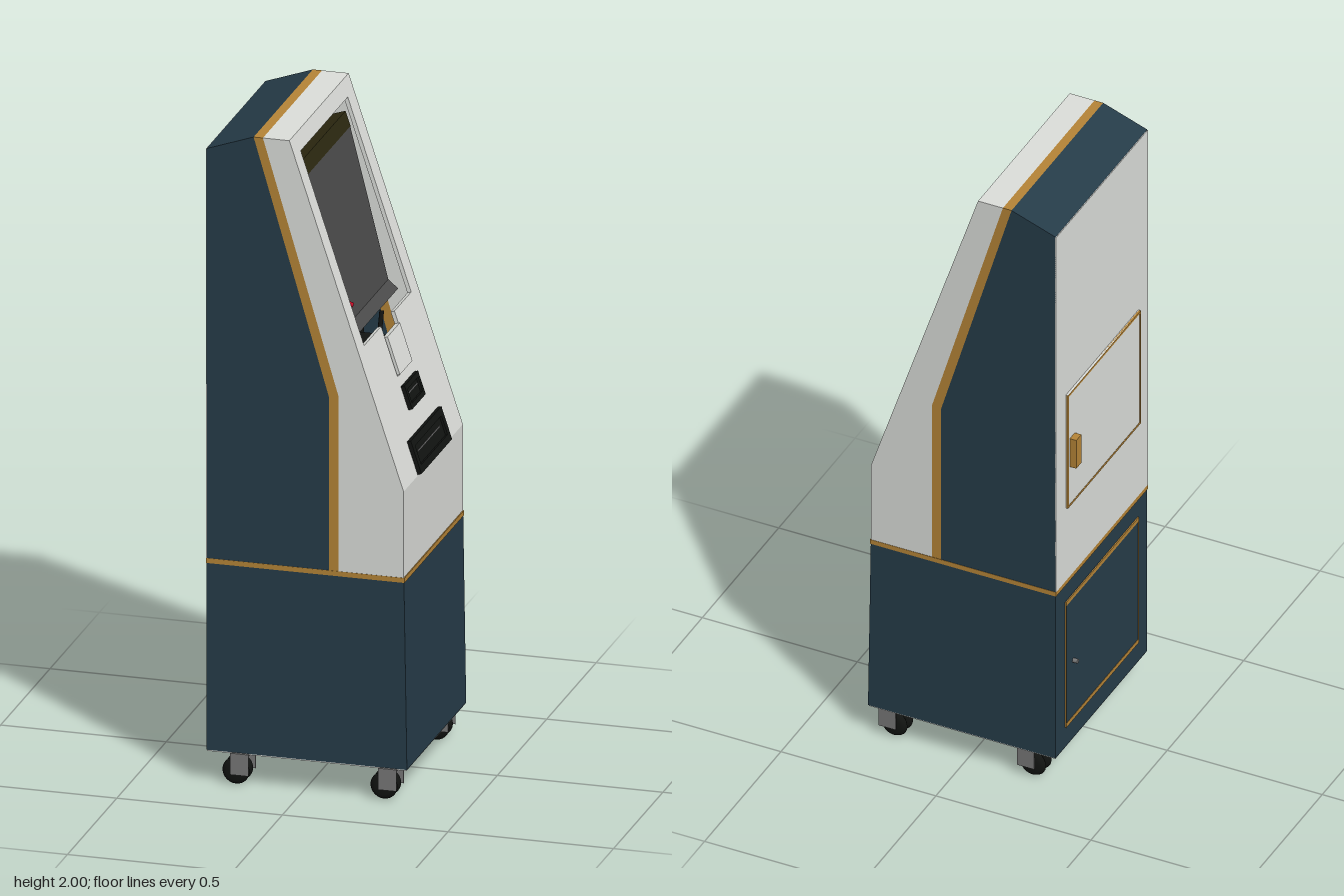
import * as THREE from 'three';

const mat = (name, color) => {
  const m = new THREE.MeshStandardMaterial({ color });
  m.name = name;
  return m;
};

export function createModel() {
  const M = {
    navy: mat('navy', 0x263c49),
    gold: mat('gold', 0xb58437),
    light: mat('light grey', 0xdcdeda),
    screen: mat('screen grey', 0x4a4a4a),
    black: mat('black', 0x121412),
    olive: mat('dark olive', 0x2c2810),
    metal: mat('metal grey', 0x777777),
    red: mat('red', 0xc00a24),
  };
  const model = new THREE.Group();
  model.name = 'kiosk';
  const ZC = -0.005, HALF = 0.3, WALL = 0.012;

  const add = (name, geo, material, parent = model) => {
    const mesh = new THREE.Mesh(geo, material);
    mesh.name = name;
    parent.add(mesh);
    return mesh;
  };
  const box = (name, material, x0, x1, y0, y1, z0, z1, parent = model) => {
    const m = add(name, new THREE.BoxGeometry(x1 - x0, y1 - y0, z1 - z0), material, parent);
    m.position.set((x0 + x1) / 2, (y0 + y1) / 2, (z0 + z1) / 2);
    return m;
  };
  const shape = pts => new THREE.Shape(pts.map(p => new THREE.Vector2(p[0], p[1])));
  // Extrudes an x-y outline from z0 to z1
  const slab = (name, material, pts, z0, z1) => {
    const geo = new THREE.ExtrudeGeometry(shape(pts), { depth: z1 - z0, bevelEnabled: false });
    add(name, geo, material).position.z = z0;
  };
  // Thin wall between two outline points, thickness going inwards
  const wall = (name, material, a, b) => {
    const d = new THREE.Vector2(b[0] - a[0], b[1] - a[1]).normalize().multiplyScalar(WALL);
    const shift = p => [p[0] + d.y, p[1] - d.x];
    slab(name, material, [a, b, shift(b), shift(a)], ZC - HALF + WALL, ZC + HALF - WALL);
  };
  const tube = (name, material, pts, r) => add(name, new THREE.TubeGeometry(
    new THREE.CatmullRomCurve3(pts.map(p => new THREE.Vector3(...p))), 20, r, 8), material);

  // Base cabinet, underside and trim band
  slab('base', M.navy, [[-0.29, 0.1], [0.315, 0.1], [0.306, 0.68], [-0.29, 0.68]], ZC - HALF, ZC + HALF);
  box('underside', M.light, -0.288, 0.313, 0.096, 0.1, ZC - HALF + 0.002, ZC + HALF - 0.002);
  box('trimBand', M.gold, -0.292, 0.308, 0.675, 0.69, ZC - HALF - 0.001, ZC + HALF + 0.001);
  box('innerFloor', M.light, -0.28, 0.295, 0.69, 0.7, ZC - 0.288, ZC + 0.288);

  // Upper side walls in three colours
  const Y0 = 0.685;
  const sides = [
    ['sideRear', M.navy, [[-0.29, Y0], [-0.29, 1.95], [-0.148, 2], [0.08, 1.222], [0.08, Y0]]],
    ['sideStripe', M.gold, [[0.08, Y0], [0.08, 1.222], [-0.148, 2], [-0.12, 2], [0.108, 1.23], [0.108, Y0]]],
    ['sideFront', M.light, [[0.108, Y0], [0.108, 1.23], [-0.12, 2], [-0.04, 2], [0.305, 0.955], [0.305, Y0]]],
  ];
  for (const [name, m, pts] of sides) {
    slab(name, m, pts, ZC - HALF, ZC - HALF + WALL);
    slab(name, m, pts, ZC + HALF - WALL, ZC + HALF);
  }
  // Walls across the width
  wall('backPanel', M.light, [-0.29, Y0], [-0.29, 1.95]);
  box('backFace', M.light, -0.292, -0.289, 0.69, 1.949, ZC - HALF, ZC + HALF);
  wall('topRear', M.navy, [-0.29, 1.95], [-0.148, 2]);
  wall('topStripe', M.gold, [-0.148, 2], [-0.12, 2]);
  wall('topFront', M.light, [-0.12, 2], [-0.04, 2]);
  wall('frontPanel', M.light, [0.305, 0.955], [0.305, Y0]);

  // Sloped fascia: local x = across, y = up the slope, z = outwards
  const LEN = Math.hypot(0.345, 1.045), c = 1.045 / LEN, s = 0.345 / LEN;
  const fascia = new THREE.Group();
  fascia.name = 'fascia';
  fascia.applyMatrix4(new THREE.Matrix4().makeBasis(
    new THREE.Vector3(0, 0, -1), new THREE.Vector3(-s, c, 0), new THREE.Vector3(c, s, 0))
    .setPosition(0.305, 0.955, ZC));
  model.add(fascia);
  const v = y => (y - 0.955) / c;
  const W = HALF - WALL;
  const panel = shape([[-W, 0], [W, 0], [W, LEN], [-W, LEN]]);
  panel.holes.push(shape([[-0.24, v(1.37)], [-0.24, v(1.95)], [0.236, v(1.95)], [0.236, v(1.37)],
    [0.067, v(1.37)], [0.067, v(1.22)], [-0.068, v(1.22)], [-0.068, v(1.37)]]));
  add('fasciaPanel', new THREE.ExtrudeGeometry(panel, { depth: WALL, bevelEnabled: false }), M.light, fascia)
    .position.z = -WALL;

  // Receipt plate and the two slots
  box('receiptPlate', M.light, -0.061, 0.065, v(1.222), v(1.335), -0.01, 0.006, fascia);
  const slot = (name, w, y0, y1, lip) => {
    const a = v(y0), b = v(y1), mid = (a + b) / 2;
    box(name, M.black, -w, w, a, b, -0.02, 0.005, fascia);
    for (const [p, q] of [[a, a + lip], [b - lip, b]])
      box(name + 'Lip', M.black, -w, w, p, q, 0, 0.012, fascia);
    for (const k of [-1, 1])
      box(name + 'Cheek', M.black, k * (w - lip / 2) - lip / 2, k * (w - lip / 2) + lip / 2, a, b, 0, 0.012, fascia);
    box(name + 'Slit', M.metal, -w * 0.7, w * 0.7, mid + 0.004, mid + 0.008, 0.004, 0.007, fascia);
  };
  slot('cardSlot', 0.068, 1.12, 1.19, 0.015);
  slot('noteSlot', 0.155, 0.957, 1.055, 0.022);

  // Display, set back inside the opening
  slab('screen', M.screen, [[-0.01, 1.87], [0.105, 1.41], [0.135, 1.385], [0.12, 1.372], [0.06, 1.39], [-0.06, 1.86]], -0.22, 0.21);
  slab('screenHood', M.olive, [[-0.024, 1.915], [-0.009, 1.87], [-0.06, 1.86], [-0.07, 1.9]], -0.22, 0.21);

  // Equipment and cables inside
  box('printer', M.black, 0, 0.188, 1.0, 1.3, -0.06, 0.05);
  box('powerUnit', M.black, -0.03, 0.145, 0.9, 1.2, 0.155, 0.235);
  tube('redCable', M.red, [[0.02, 1.3, 0.222], [0.06, 1.42, 0.232], [0.1, 1.49, 0.218], [0.125, 1.48, 0.205]], 0.007);
  tube('redCable', M.red, [[0.08, 1.25, 0.215], [0.12, 1.4, 0.23], [0.14, 1.39, 0.222], [0.17, 1.25, 0.215]], 0.006);
  for (const x of [0, 0.055])
    tube('blackCable', M.black, [[x, 0.9, -0.2], [x + 0.01, 1.1, -0.225], [x + 0.02, 1.3, -0.255]], 0.007);
  tube('blackCable', M.black, [[0.13, 1.1, 0.22], [0.16, 1.15, 0.19], [0.175, 1.1, 0.15]], 0.007);

  // Rear doors
  const doorFrame = (name, x, y0, y1, t, rim) => {
    box(name, M.gold, x, x + 0.006, y0, y0 + t, -0.243, 0.233);
    box(name, M.gold, x, x + 0.006, y1 - t, y1, -0.243, 0.233);
    box(name, M.gold, x, x + 0.006, y0, y1, -0.243, -0.243 + rim);
    box(name, M.gold, x, x + 0.006, y0, y1, 0.233 - rim, 0.233);
  };
  box('upperDoor', M.light, -0.299, -0.29, 0.95, 1.35, -0.242, 0.232);
  doorFrame('upperDoorFrame', -0.3, 0.95, 1.35, 0.007, 0.006);
  box('doorHandle', M.gold, -0.32, -0.298, 1.09, 1.19, -0.23, -0.197);
  box('lowerDoor', M.navy, -0.293, -0.289, 0.17, 0.615, -0.242, 0.232);
  doorFrame('lowerDoorFrame', -0.294, 0.17, 0.615, 0.014, 0.003);
  const lock = add('lock', new THREE.CylinderGeometry(0.007, 0.007, 0.016, 16), M.metal);
  lock.rotation.z = Math.PI / 2;
  lock.position.set(-0.3, 0.38, -0.195);

  // Twin-wheel casters
  const wheelProfile = [[0, -0.014], [0.025, -0.014], [0.036, -0.008], [0.041, 0], [0.036, 0.008], [0.025, 0.014], [0, 0.014]]
    .map(p => new THREE.Vector2(p[0], p[1]));
  for (const x of [-0.205, 0.242]) for (const z of [-0.26, 0.264]) {
    const caster = new THREE.Group();
    caster.name = 'caster';
    caster.position.set(x, 0.041, z);
    model.add(caster);
    for (const k of [-1, 1]) {
      const wheel = add('wheel', new THREE.LatheGeometry(wheelProfile, 24), M.black, caster);
      wheel.rotation.x = Math.PI / 2;
      wheel.position.z = k * 0.018;
      box('fork', M.metal, -0.012, 0.043, -0.008, 0.058, k * 0.0365 - 0.0015, k * 0.0365 + 0.0015, caster);
    }
    box('mount', M.metal, -0.012, 0.043, 0.052, 0.058, -0.037, 0.037, caster);
    const axle = add('axle', new THREE.CylinderGeometry(0.006, 0.006, 0.07, 12), M.metal, caster);
    axle.rotation.x = Math.PI / 2;
  }
  return model;
}
